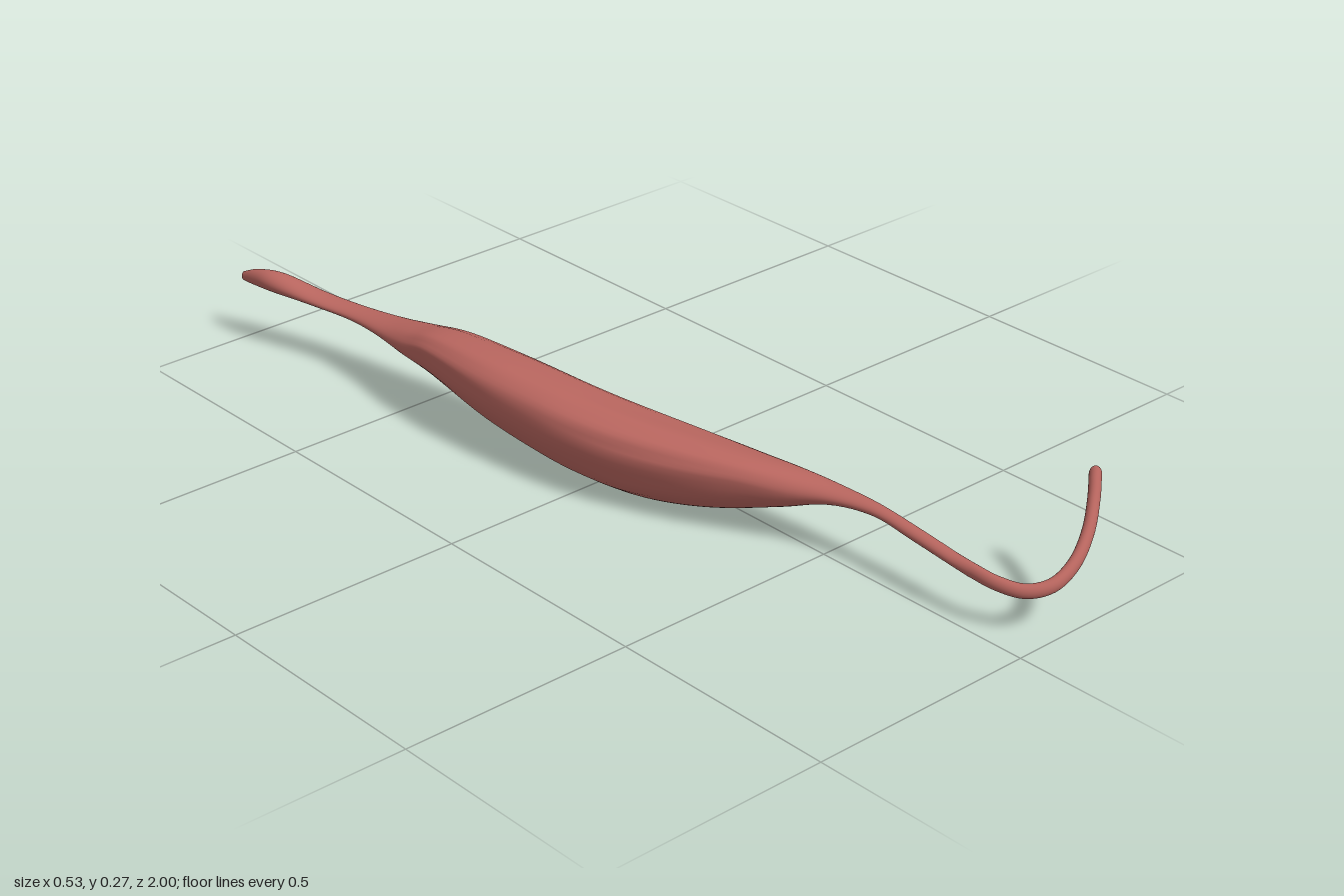
import * as THREE from 'three';

const SIDES = 40;

// Belly and rear tendon sections: z, x min, x max, y min, y max
const SECTIONS = [
  [-1, -0.267, -0.254, 0.135, 0.156],
  [-0.96, -0.268, -0.238, 0.134, 0.172],
  [-0.9, -0.265, -0.213, 0.134, 0.178],
  [-0.8, -0.235, -0.18, 0.13, 0.157],
  [-0.7, -0.212, -0.155, 0.125, 0.152],
  [-0.6, -0.214, -0.135, 0.12, 0.16],
  [-0.5, -0.226, -0.118, 0.102, 0.18],
  [-0.4, -0.239, -0.1, 0.08, 0.203],
  [-0.25, -0.247, -0.074, 0.047, 0.207],
  [-0.1, -0.235, -0.045, 0.019, 0.198],
  [0, -0.222, -0.022, 0.007, 0.19],
  [0.1, -0.199, 0, 0.002, 0.183],
  [0.2, -0.165, 0.018, 0.014, 0.176],
  [0.3, -0.12, 0.031, 0.037, 0.168],
  [0.4, -0.065, 0.041, 0.07, 0.158],
  [0.5, -0.012, 0.048, 0.107, 0.146],
  [0.6, 0.018, 0.05, 0.117, 0.14],
  [0.7, 0.021, 0.051, 0.106, 0.13],
  [0.8, 0.019, 0.049, 0.097, 0.12],
];

// Centre line of the hooked front tendon
const HOOK = [
  [0.034, 0.105, 0.84], [0.039, 0.1, 0.9], [0.062, 0.096, 0.95], [0.1, 0.106, 0.979],
  [0.15, 0.133, 0.984], [0.2, 0.175, 0.97], [0.238, 0.222, 0.947], [0.258, 0.256, 0.93],
];

// D-shaped section: shallow tilted top, deep rounded underside, faint fibre ridges
function bodyRing(z, x0, x1, y0, y1) {
  const full = THREE.MathUtils.smoothstep(y1 - y0, 0.04, 0.12);
  const mid = 0.5 + 0.12 * full, tilt = 0.1 * full;
  const up = Math.sqrt((1 - mid) ** 2 - tilt ** 2), down = Math.sqrt(mid ** 2 - tilt ** 2);
  const ring = [];
  for (let j = 0; j < SIDES; j++) {
    const a = (j / SIDES) * Math.PI * 2, s = Math.sin(a);
    let c = Math.cos(a);
    if (s > 0) c = Math.sign(c) * Math.abs(c) ** (1 - 0.2 * full);
    const ridge = 1 - 0.012 * full * (1 + Math.sin(9 * a + 7 * z)) * (1 + 0.5 * Math.sin(11 * z));
    const v = (mid - tilt * c + (s > 0 ? up : down) * s - 0.5) * ridge + 0.5;
    ring.push(new THREE.Vector3((x0 + x1) / 2 + ((x1 - x0) / 2) * c * ridge, y0 + (y1 - y0) * v, z));
  }
  return ring;
}

// Oval section square to the tendon's direction; the last one is cut obliquely
function hookRing(p, t, end) {
  const u = new THREE.Vector3(0, 1, 0).cross(t).normalize();
  const v = t.clone().cross(u);
  return Array.from({ length: SIDES }, (_, j) => {
    const a = (j / SIDES) * Math.PI * 2;
    return p.clone().addScaledVector(u, 0.012 * Math.cos(a))
      .addScaledVector(v, 0.0145 * Math.sin(a))
      .addScaledVector(t, end ? 0.014 * Math.sin(a) : 0);
  });
}

// Smooth skin through the rings, closed by flat caps
function loft(rings) {
  const pos = [], index = [];
  const add = (p) => pos.push(p.x, p.y, p.z) / 3 - 1;
  rings.forEach((r) => r.forEach(add));
  for (let i = 0; i < rings.length - 1; i++) {
    for (let j = 0; j < SIDES; j++) {
      const k = (j + 1) % SIDES, a = i * SIDES, b = a + SIDES;
      index.push(a + j, a + k, b + k, a + j, b + k, b + j);
    }
  }
  for (const [ring, front] of [[rings[0], false], [rings[rings.length - 1], true]]) {
    const centre = new THREE.Vector3();
    ring.forEach((p) => centre.addScaledVector(p, 1 / SIDES));
    const c = add(centre), first = c + 1;
    ring.forEach(add);
    for (let j = 0; j < SIDES; j++) {
      const k = (j + 1) % SIDES;
      index.push(c, first + (front ? j : k), first + (front ? k : j));
    }
  }
  const g = new THREE.BufferGeometry();
  g.setAttribute('position', new THREE.Float32BufferAttribute(pos, 3));
  g.setIndex(index);
  g.computeVertexNormals();
  return g;
}

export function createModel() {
  const group = new THREE.Group();
  group.name = 'muscle';
  const red = new THREE.MeshStandardMaterial({ color: 0xb9665f });
  red.name = 'muscle red';

  const rings = [];
  const widths = new THREE.CatmullRomCurve3(
    SECTIONS.map((s) => new THREE.Vector3(s[0], s[1], s[2])), false, 'catmullrom');
  const heights = new THREE.CatmullRomCurve3(
    SECTIONS.map((s) => new THREE.Vector3(s[0], s[3], s[4])), false, 'catmullrom');
  for (let i = 0; i <= 90; i++) {
    const w = widths.getPoint(i / 90), h = heights.getPoint(i / 90);
    rings.push(bodyRing(w.x, w.y, w.z, h.y, h.z));
  }
  const hook = new THREE.CatmullRomCurve3(HOOK.map((p) => new THREE.Vector3(...p)));
  for (let i = 0; i <= 40; i++) {
    rings.push(hookRing(hook.getPoint(i / 40), hook.getTangent(i / 40), i === 40));
  }

  // Belly with its two tendons, one continuous skin
  const mesh = new THREE.Mesh(loft(rings), red);
  mesh.name = 'bellyAndTendons';
  group.add(mesh);
  return group;
}
